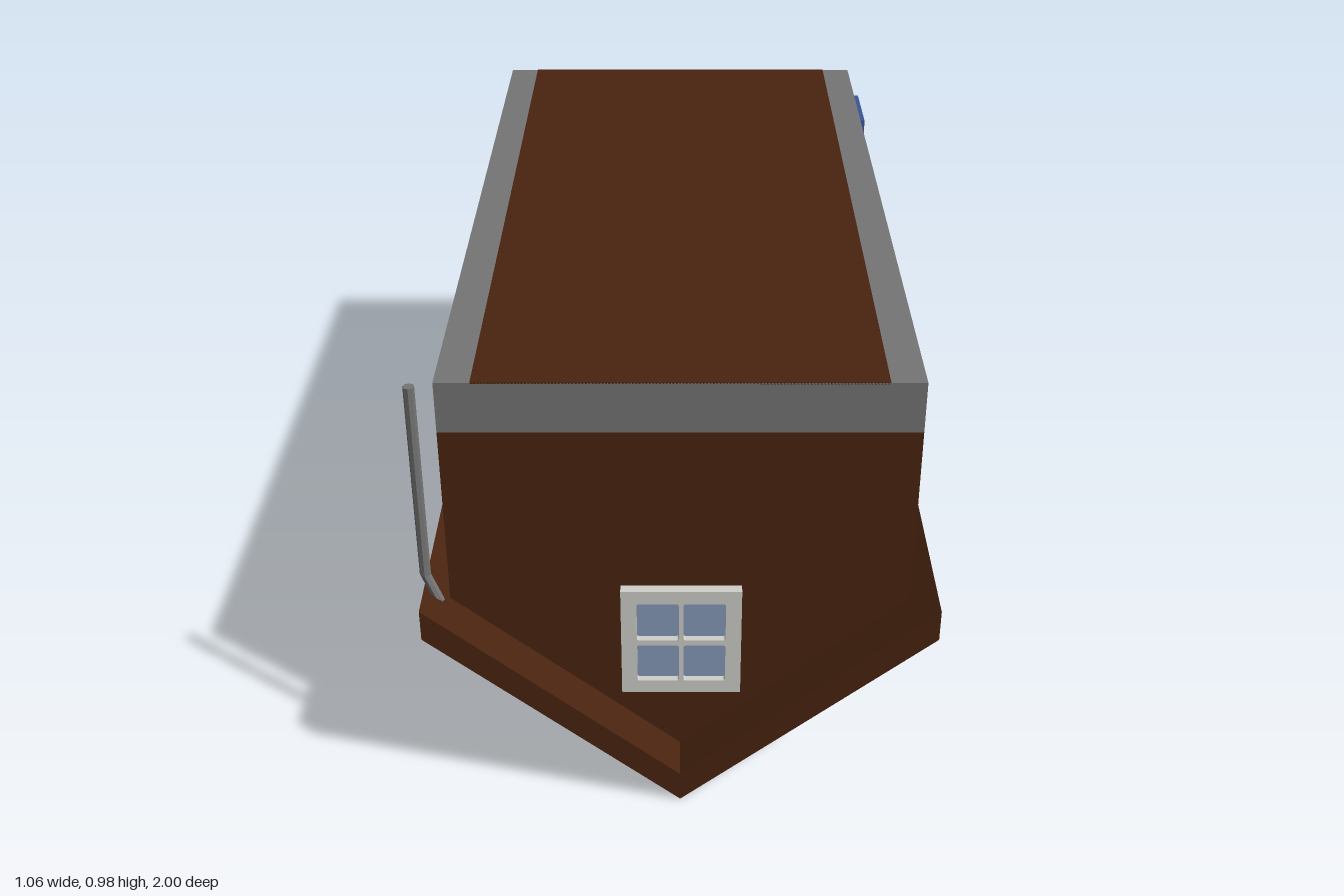
import * as THREE from 'three';

const mat = (name, color) => {
  const m = new THREE.MeshStandardMaterial({ color });
  m.name = name;
  return m;
};

export function createModel() {
  const brown = mat('brown wood', 0x4a240f);
  const grey = mat('grey stone', 0x757575);
  const white = mat('window frame white', 0xcfcfcb);
  const glass = mat('glass blue', 0x869bba);
  const blue = mat('door blue', 0x3a5699);
  const dark = mat('handle grey', 0x5a5a5a);

  const model = new THREE.Group();
  model.name = 'upturnedHouse';
  const add = (parent, name, geo, material, x = 0, y = 0, z = 0) => {
    const mesh = new THREE.Mesh(geo, material);
    mesh.name = name;
    mesh.position.set(x, y, z);
    parent.add(mesh);
    return mesh;
  };
  const box = (w, h, d) => new THREE.BoxGeometry(w, h, d);
  const shapeOf = (pts) => new THREE.Shape(pts.map(([x, y]) => new THREE.Vector2(x, y)));
  const extrude = (shape, depth) => new THREE.ExtrudeGeometry(shape, { depth, bevelEnabled: false, curveSegments: 3 });

  // Rounded rectangle centred on cx, cy
  const roundRect = (path, cx, cy, w, h, r) => {
    const x = cx - w / 2, y = cy - h / 2;
    path.moveTo(x + r, y);
    path.lineTo(x + w - r, y);
    path.quadraticCurveTo(x + w, y, x + w, y + r);
    path.lineTo(x + w, y + h - r);
    path.quadraticCurveTo(x + w, y + h, x + w - r, y + h);
    path.lineTo(x + r, y + h);
    path.quadraticCurveTo(x, y + h, x, y + h - r);
    path.lineTo(x, y + r);
    path.quadraticCurveTo(x, y, x + r, y);
    return path;
  };

  // V-shaped roof slab, pointing down
  add(model, 'roof', extrude(shapeOf([
    [0, 0], [0.528, 0.435], [0.528, 0.506], [0, 0.071], [-0.528, 0.506], [-0.528, 0.435],
  ]), 2), brown, 0, 0, -1);

  // Walls with gable ends that follow the roof
  add(model, 'walls', extrude(shapeOf([
    [0, 0.06], [0.479, 0.455], [0.479, 0.87], [-0.479, 0.87], [-0.479, 0.455],
  ]), 1.8), brown, 0, 0, -0.9);

  // Stone base band and the floor set between its edges
  add(model, 'baseBand', box(0.958, 0.112, 1.8), grey, 0, 0.926, 0);
  add(model, 'floor', box(0.815, 0.004, 1.8), brown, 0, 0.981, 0);

  // Four-pane window facing +z, with its back on z = 0
  const frameShape = shapeOf([[-0.126, -0.133], [0.126, -0.133], [0.126, 0.133], [-0.126, 0.133]]);
  for (const sx of [-1, 1]) for (const sy of [-1, 1])
    frameShape.holes.push(roundRect(new THREE.Path(), sx * 0.049, sy * 0.054, 0.088, 0.094, 0.005));
  const frameGeo = extrude(frameShape, 0.023);
  const paneGeo = box(0.2, 0.21, 0.006);
  const addWindow = (name, x, y, z, turn) => {
    const g = new THREE.Group();
    g.name = name;
    add(g, 'windowFrame', frameGeo, white);
    add(g, 'windowGlass', paneGeo, glass, 0, 0, 0.005);
    g.position.set(x, y, z);
    g.rotation.y = turn;
    model.add(g);
  };
  addWindow('frontWindow', 0.002, 0.365, 0.9, 0);
  addWindow('backWindow', 0.002, 0.365, -0.9, Math.PI);
  addWindow('sideWindowFront', 0.481, 0.681, 0.4, Math.PI / 2);
  addWindow('sideWindowBack', 0.481, 0.681, -0.275, Math.PI / 2);

  // Door on the +x wall, local +z pointing outwards
  const door = new THREE.Group();
  door.name = 'door';
  door.position.set(0.479, 0, -0.596);
  door.rotation.y = Math.PI / 2;
  model.add(door);
  add(door, 'doorPanel', box(0.19, 0.47, 0.012), blue, 0, 0.746, 0.005);
  const rim = roundRect(new THREE.Shape(), 0, 0, 0.154, 0.154, 0.015);
  rim.holes.push(roundRect(new THREE.Path(), 0, 0, 0.14, 0.14, 0.012));
  add(door, 'doorWindowRim', extrude(rim, 0.006), blue, 0, 0.61, 0.011);
  add(door, 'doorGlass', extrude(roundRect(new THREE.Shape(), 0, 0, 0.142, 0.142, 0.012), 0.003), glass, 0, 0.61, 0.011);
  const knob = new THREE.CylinderGeometry(0.007, 0.007, 0.018, 10).rotateX(Math.PI / 2);
  add(door, 'handlePost', knob, dark, 0.075, 0.732, 0.02);
  add(door, 'handlePlate', box(0.028, 0.034, 0.006), dark, 0.078, 0.732, 0.013);
  add(door, 'handleLever', box(0.055, 0.012, 0.009), dark, 0.064, 0.732, 0.031);

  // Drainpipe at the front corner, its lower end bent in to the roof
  const pipe = new THREE.CylinderGeometry(0.0115, 0.0115, 0.443, 8, 2).toNonIndexed();
  const p = pipe.attributes.position;
  for (let i = 0; i < p.count; i++) {
    const y = p.getY(i);
    if (y < -0.1) p.setXYZ(i, p.getX(i) + 0.024, 0.475, p.getZ(i));
    else p.setY(i, y < 0.1 ? 0.54 : 0.984);
  }
  pipe.computeVertexNormals();
  add(model, 'drainpipe', pipe, grey, -0.523, 0, 0.917);

  return model;
}
